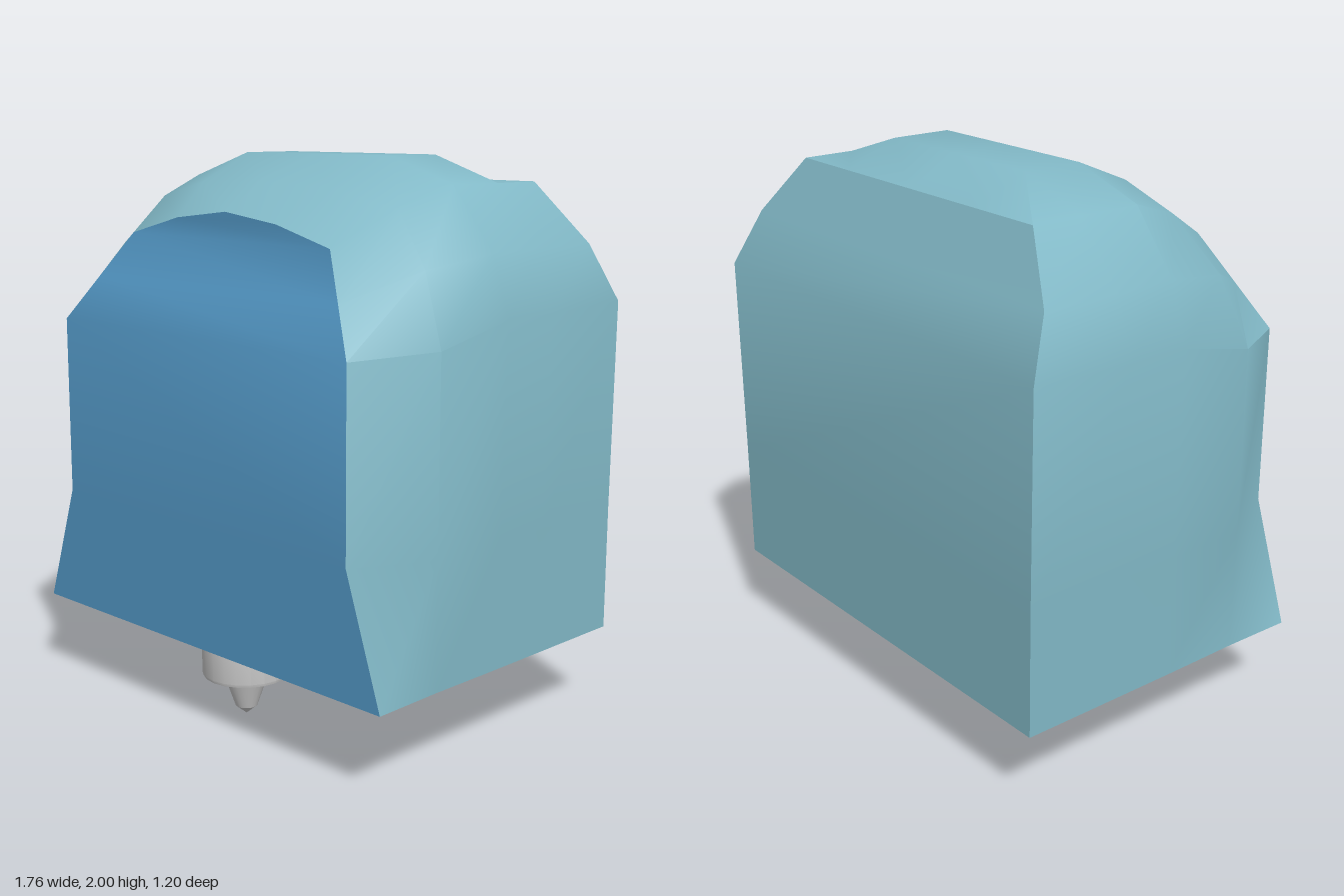
import * as THREE from 'three';
import { toCreasedNormals } from 'three/addons/utils/BufferGeometryUtils.js';

// Right half (+x) of each cross-section, from the bottom edge up to the crown; front to back
const halves = [
  [[.87, .305, .6], [.72, .75, .6], [.72, 1.4, .6], [.61, 1.56, .525], [.5, 1.72, .45], [.25, 1.785, .45], [0, 1.815, .45]],
  [[.865, .305, .33], [.865, .75, .33], [.865, 1.42, .33], [.76, 1.66, .29], [.59, 1.84, .23], [.32, 1.9, .27], [0, 1.91, .27]],
  [[.868, .305, .02], [.87, .75, .02], [.88, 1.49, .02], [.81, 1.7, .02], [.64, 1.91, .02], [.36, 2, .02], [0, 2, .02]],
  [[.868, .305, -.21], [.87, .75, -.21], [.88, 1.49, -.21], [.81, 1.7, -.21], [.64, 1.91, -.21], [.36, 2, -.21], [0, 2, -.21]],
  [[.868, .305, -.6], [.868, .75, -.6], [.875, 1.5, -.6], [.81, 1.7, -.507], [.64, 1.91, -.41], [.36, 1.91, -.41], [0, 1.91, -.41]],
];

const mirror = ([x, y, z]) => [-x, y, z];

function quad(out, a, b, c, d) {
  out.push(...a, ...b, ...c, ...a, ...c, ...d);
}

// Rows of faces spanning a cross-section from +x to -x
function capRows(out, half, facesFront) {
  for (let i = 0; i < half.length - 1; i++) {
    const a = half[i], b = half[i + 1];
    if (facesFront) quad(out, a, b, mirror(b), mirror(a));
    else quad(out, a, mirror(a), mirror(b), b);
  }
}

function makeMesh(name, positions, color, crease) {
  const g = new THREE.BufferGeometry();
  g.setAttribute('position', new THREE.Float32BufferAttribute(positions, 3));
  const mesh = new THREE.Mesh(toCreasedNormals(g, crease), new THREE.MeshStandardMaterial({ color }));
  mesh.name = name;
  return mesh;
}

export function createModel() {
  const model = new THREE.Group();
  model.name = 'toolHead';

  // Housing: skin between cross-sections, flat underside, back wall
  const shell = [];
  const rings = halves.map(h => [...h, ...h.slice(0, -1).reverse().map(mirror)]);
  for (let j = 0; j < rings.length - 1; j++) {
    const r = rings[j], s = rings[j + 1], last = r.length - 1;
    for (let i = 0; i < last; i++) quad(shell, r[i], s[i], s[i + 1], r[i + 1]);
    quad(shell, r[0], r[last], s[last], s[0]);
  }
  capRows(shell, halves[halves.length - 1], false);
  model.add(makeMesh('housing', shell, 0x82b9c7, 0.62));

  // Blue front panel, leaning back at the top
  const panel = [];
  capRows(panel, halves[0], true);
  model.add(makeMesh('frontPanel', panel, 0x5499c7, 0.62));

  // Nozzle: collar, chamfer, cone and tip
  const profile = [[0, 0.01], [.015, .012], [.04, .032], [.072, .125], [.155, .155], [.158, .165], [.16, .31], [0, .31]]
    .map(([r, y]) => new THREE.Vector2(r, r === 0 && y < .1 ? 0 : y));
  const nozzle = new THREE.Mesh(
    toCreasedNormals(new THREE.LatheGeometry(profile, 20), 0.4),
    new THREE.MeshStandardMaterial({ color: 0xcccccc }));
  nozzle.name = 'nozzle';
  nozzle.position.z = 0.375;
  model.add(nozzle);

  return model;
}
